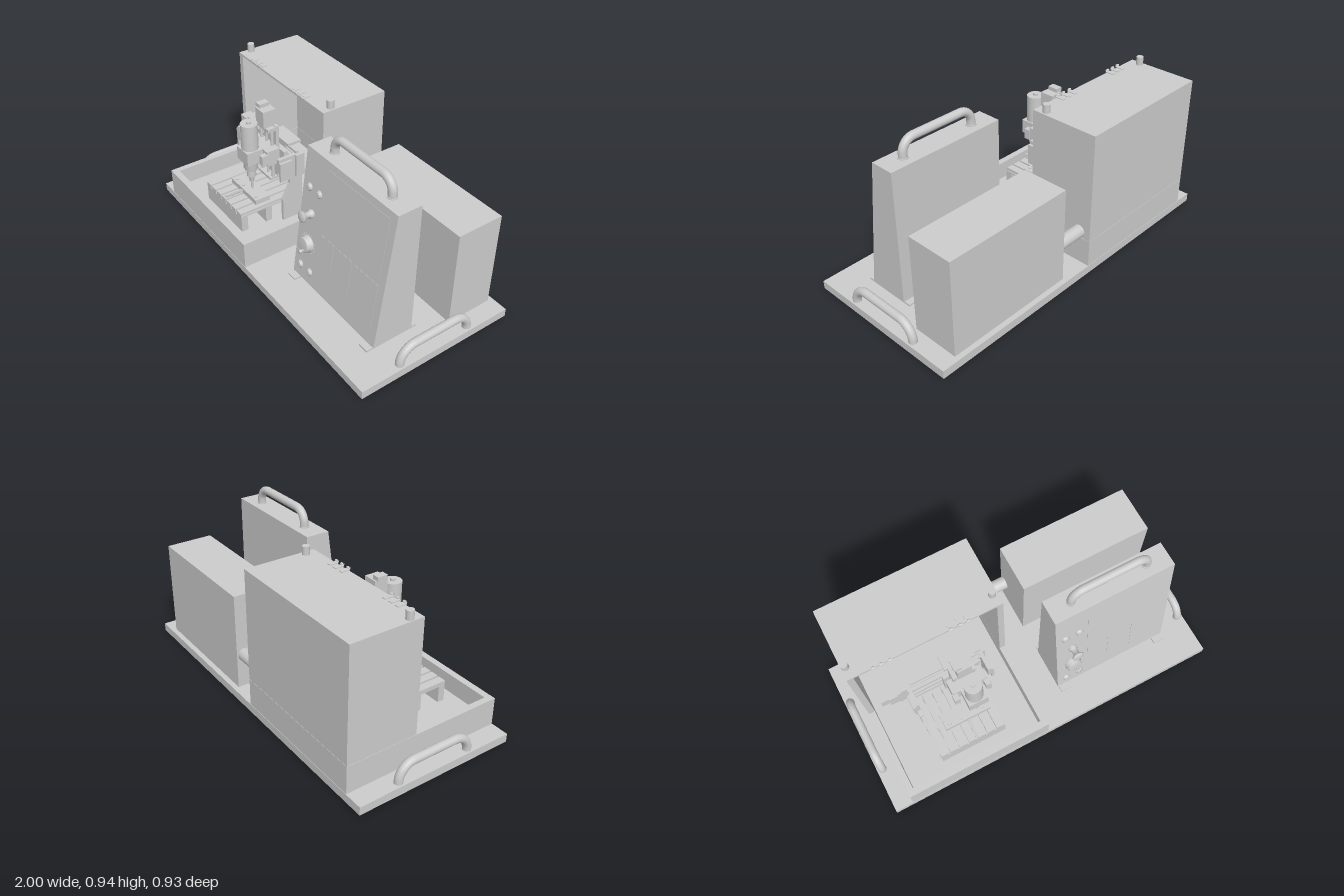
import * as THREE from 'three';

const mat = new THREE.MeshStandardMaterial({ color: 0xcccccc });

function add(parent, name, geo, x = 0, y = 0, z = 0) {
  const m = new THREE.Mesh(geo, mat);
  m.name = name;
  m.position.set(x, y, z);
  parent.add(m);
  return m;
}
// box given by its limits on each axis
function box(parent, name, x0, x1, y0, y1, z0, z1) {
  return add(parent, name, new THREE.BoxGeometry(x1 - x0, y1 - y0, z1 - z0),
    (x0 + x1) / 2, (y0 + y1) / 2, (z0 + z1) / 2);
}
// upright cylinder from y0 to y1
function post(parent, name, x, z, r0, r1, y0, y1, n = 32) {
  return add(parent, name, new THREE.CylinderGeometry(r1, r0, y1 - y0, n), x, (y0 + y1) / 2, z);
}
function group(parent, name) {
  const g = new THREE.Group();
  g.name = name;
  parent.add(g);
  return g;
}
// rounded tube handle lying in the XY plane, feet at y = 0
function handleGeometry(half, height, bend, r) {
  const path = new THREE.CurvePath();
  const v = (x, y) => new THREE.Vector3(x, y, 0);
  const arc = (s) => {
    const pts = [];
    for (let i = 0; i <= 10; i++) {
      const a = (i / 10) * Math.PI / 2;
      pts.push(v(s * (half - bend + bend * Math.cos(a)), height - bend + bend * Math.sin(a)));
    }
    return pts;
  };
  const pts = [v(half, 0), ...arc(1), ...arc(-1).reverse(), v(-half, 0)];
  for (let i = 1; i < pts.length; i++) path.add(new THREE.LineCurve3(pts[i - 1], pts[i]));
  return new THREE.TubeGeometry(path, 120, r, 20);
}

function buildTray(root) {
  const g = group(root, 'tray');
  box(g, 'trayFloor', -0.895, -0.045, 0.047, 0.1, -0.463, 0.463);
  box(g, 'trayFrontWall', -0.895, -0.045, 0.1, 0.205, 0.425, 0.463);
  box(g, 'trayBackWall', -0.895, -0.045, 0.1, 0.205, -0.463, -0.43);
  box(g, 'trayLeftWall', -0.08, -0.045, 0.1, 0.205, -0.43, 0.425);
  box(g, 'trayRightWall', -0.895, -0.86, 0.1, 0.205, -0.43, 0.425);
}

function buildHood(root) {
  const g = group(root, 'hood');
  box(g, 'hoodRoof', -0.895, -0.045, 0.83, 0.843, -0.463, -0.056);
  box(g, 'hoodBack', -0.895, -0.045, 0.207, 0.83, -0.463, -0.43);
  for (const x of [-0.895, -0.08]) box(g, 'hoodSide', x, x + 0.035, 0.207, 0.83, -0.43, -0.056);
  for (const x of [-0.872, -0.073]) post(g, 'hoodPost', x, -0.122, 0.02, 0.02, 0.843, 0.89);
  // small hooks along the front edge
  for (const x of [-0.755, -0.71, -0.665, -0.335, -0.285, -0.24]) {
    box(g, 'hookPlate', x - 0.012, x + 0.012, 0.843, 0.847, -0.1, -0.05);
    const hook = add(g, 'hookCurl', new THREE.TorusGeometry(0.006, 0.002, 6, 14, 4.7), x, 0.852, -0.052);
    hook.rotation.y = Math.PI / 2;
    hook.scale.z = 5;
  }
}

function buildMachine(root) {
  const g = group(root, 'millingMachine');
  // bed: cross members carrying slats, with slots between them
  for (const z of [-0.04, 0.15, 0.31]) box(g, 'bedCrossMember', -0.65, -0.26, 0.1, 0.195, z, z + 0.04);
  for (let i = 0; i < 7; i++) {
    const x = -0.65 + i * 0.0565;
    box(g, 'bedSlat', x, x + 0.045, 0.195, 0.22, -0.05, 0.35);
    box(g, 'bedSlotFloor', x, x + 0.051, 0.195, 0.205, -0.05, 0.345);
  }
  // work clamp
  box(g, 'clampBase', -0.56, -0.29, 0.22, 0.25, 0.14, 0.235);
  for (const x of [-0.53, -0.46, -0.32]) post(g, 'clampBolt', x, 0.215, 0.009, 0.009, 0.25, 0.256, 12);
  // cable chain
  for (let i = 0; i < 12; i++) box(g, 'chainLink', -0.437, -0.421, 0.238, 0.248, 0.24 + i * 0.0093, 0.247 + i * 0.0093);
  // gantry legs with side bearings
  for (const x of [-0.645, -0.225]) {
    const shape = new THREE.Shape([[-0.03, 0.1], [0.1, 0.1], [0.1, 0.24], [0.05, 0.34], [0.05, 0.39],
      [0.12, 0.43], [0.12, 0.52], [-0.03, 0.52]].map((p) => new THREE.Vector2(...p)));
    const geo = new THREE.ExtrudeGeometry(shape, { depth: 0.02, bevelEnabled: false }).rotateY(-Math.PI / 2);
    add(g, 'gantryLeg', geo, x + 0.01, 0, 0);
    const s = x < -0.4 ? -1 : 1;
    box(g, 'legBearing', x + s * 0.017 - 0.008, x + s * 0.017 + 0.008, 0.38, 0.5, 0.04, 0.12);
  }
  // gantry beam, rails and drive
  box(g, 'gantryBeam', -0.69, -0.2, 0.38, 0.52, -0.04, 0.015);
  for (const y of [0.385, 0.435, 0.495]) box(g, 'gantryRail', -0.635, -0.235, y, y + 0.02, 0.015, 0.035);
  box(g, 'beamTopRail', -0.63, -0.22, 0.52, 0.535, -0.012, 0.005);
  box(g, 'driveFlange', -0.71, -0.69, 0.39, 0.52, -0.06, 0.02);
  box(g, 'driveMotor', -0.76, -0.71, 0.412, 0.5, -0.06, 0.02);
  box(g, 'driveMotorCap', -0.805, -0.76, 0.425, 0.488, -0.055, 0.01);
  box(g, 'cableBracket', -0.44, -0.26, 0.553, 0.57, -0.056, 0.03);
  box(g, 'cableBracketFoot', -0.4, -0.3, 0.52, 0.553, -0.02, 0.02);
  // vertical axis
  box(g, 'carriage', -0.465, -0.255, 0.36, 0.53, 0.035, 0.06);
  box(g, 'verticalPlate', -0.43, -0.3, 0.34, 0.68, 0.06, 0.08);
  for (const x of [-0.42, -0.31]) post(g, 'guideRod', x, 0.1, 0.01, 0.01, 0.34, 0.66, 16);
  post(g, 'leadScrew', -0.365, 0.1, 0.007, 0.007, 0.34, 0.72, 12);
  box(g, 'axisBottomPlate', -0.43, -0.3, 0.34, 0.355, 0.06, 0.125);
  box(g, 'axisTopPlate', -0.43, -0.3, 0.655, 0.675, 0.06, 0.13);
  box(g, 'axisMotor', -0.405, -0.325, 0.675, 0.775, 0.06, 0.14);
  box(g, 'axisMotorCap', -0.415, -0.375, 0.775, 0.797, 0.07, 0.13);
  box(g, 'spindleSlide', -0.46, -0.26, 0.47, 0.565, 0.085, 0.165);
  // spindle
  box(g, 'spindleClamp', -0.415, -0.305, 0.485, 0.565, 0.155, 0.263);
  for (const x of [-0.465, -0.285]) box(g, 'clampEar', x, x + 0.03, 0.49, 0.55, 0.16, 0.2);
  post(g, 'spindleBody', -0.36, 0.212, 0.048, 0.048, 0.565, 0.72);
  post(g, 'spindleCap', -0.36, 0.212, 0.014, 0.014, 0.72, 0.732, 20);
  post(g, 'spindleNose', -0.36, 0.212, 0.036, 0.045, 0.425, 0.485);
  post(g, 'spindleCollar', -0.36, 0.212, 0.026, 0.026, 0.38, 0.425, 24);
  post(g, 'collet', -0.36, 0.212, 0.016, 0.02, 0.345, 0.38, 6);
  post(g, 'cutter', -0.36, 0.212, 0.006, 0.008, 0.29, 0.345, 12);
}

function buildConsole(root) {
  const g = group(root, 'console');
  const slope = (0.262 - 0.16) / 0.768;
  const side = new THREE.Shape([[0.022, 0.057], [0.262, 0.057], [0.16, 0.825], [0.022, 0.825]]
    .map((p) => new THREE.Vector2(...p)));
  const body = new THREE.ExtrudeGeometry(side, { depth: 0.695, bevelEnabled: false }).rotateY(-Math.PI / 2);
  add(g, 'consoleBody', body, 0.825, 0, 0);
  for (const x of [0.135, 0.76]) {
    box(g, 'consoleFoot', x, x + 0.06, 0.047, 0.057, -0.015, 0.3);
  }
  add(g, 'consoleHandle', handleGeometry(0.22, 0.092, 0.07, 0.023), 0.478, 0.825, 0.09);
  for (const x of [0.258, 0.698]) post(g, 'handleFlange', x, 0.09, 0.028, 0.028, 0.825, 0.829);

  // fittings that sit square to the sloping front
  const fit = (name, x, y) => {
    const f = group(g, name);
    f.position.set(x, y, 0.262 - slope * (y - 0.057));
    f.rotation.x = -Math.atan(slope);
    return f;
  };
  const turned = (pts) => new THREE.LatheGeometry(pts.map((p) => new THREE.Vector2(...p)), 32).rotateX(Math.PI / 2);
  const panel = (name, x0, x1, y0, y1) => add(fit(name, (x0 + x1) / 2, (y0 + y1) / 2), name + 'Plate',
    new THREE.BoxGeometry(x1 - x0, y1 - y0, 0.003));
  panel('screen', 0.32, 0.78, 0.45, 0.785);
  panel('keypadLeft', 0.32, 0.43, 0.27, 0.41);
  panel('keypadMiddle', 0.45, 0.58, 0.2, 0.41);
  panel('keypadRight', 0.6, 0.78, 0.15, 0.41);
  for (const y of [0.615, 0.135]) for (const x of [0.185, 0.268]) {
    add(fit('pushButton', x, y), 'buttonCap',
      turned([[0.022, 0], [0.022, 0.006], [0.017, 0.007], [0.017, 0.013], [0.014, 0.015], [0, 0.015]]));
  }
  add(fit('stopButton', 0.226, 0.477), 'stopButtonCap',
    turned([[0.024, 0], [0.024, 0.015], [0.017, 0.02], [0.017, 0.045], [0.033, 0.06], [0.031, 0.066], [0.018, 0.072], [0, 0.073]]));
  const dial = fit('handwheel', 0.226, 0.293);
  add(dial, 'handwheelBody',
    turned([[0.048, 0], [0.048, 0.012], [0.043, 0.015], [0.043, 0.034], [0.038, 0.038], [0, 0.038]]));
  add(dial, 'handwheelGrip', turned([[0.007, 0.03], [0.007, 0.045], [0.01, 0.06], [0, 0.062]]), 0.01, -0.027, 0);
  for (let i = 0; i < 16; i++) {
    const a = (i / 16) * Math.PI * 2;
    add(dial, 'dialTick', new THREE.BoxGeometry(0.01, 0.003, 0.003), 0.055 * Math.cos(a), 0.055 * Math.sin(a), 0.001).rotation.z = a;
  }
}

export function createModel() {
  const root = new THREE.Group();
  root.name = 'desktopMillStation';
  box(root, 'basePlate', -1, 1, 0, 0.047, -0.465, 0.465);
  for (const s of [-1, 1]) {
    const h = add(root, 'carryHandle', handleGeometry(0.216, 0.095, 0.09, 0.023), s * 0.968, 0.047, 0);
    h.rotation.y = Math.PI / 2;
  }
  buildTray(root);
  buildHood(root);
  buildMachine(root);
  buildConsole(root);
  // control cabinet and the conduit joining it to the hood
  box(root, 'controlCabinet', 0.13, 0.9, 0.047, 0.605, -0.435, -0.162);
  add(root, 'conduit', new THREE.CylinderGeometry(0.037, 0.037, 0.18, 32).rotateZ(Math.PI / 2), 0.042, 0.245, -0.39);
  return root;
}
